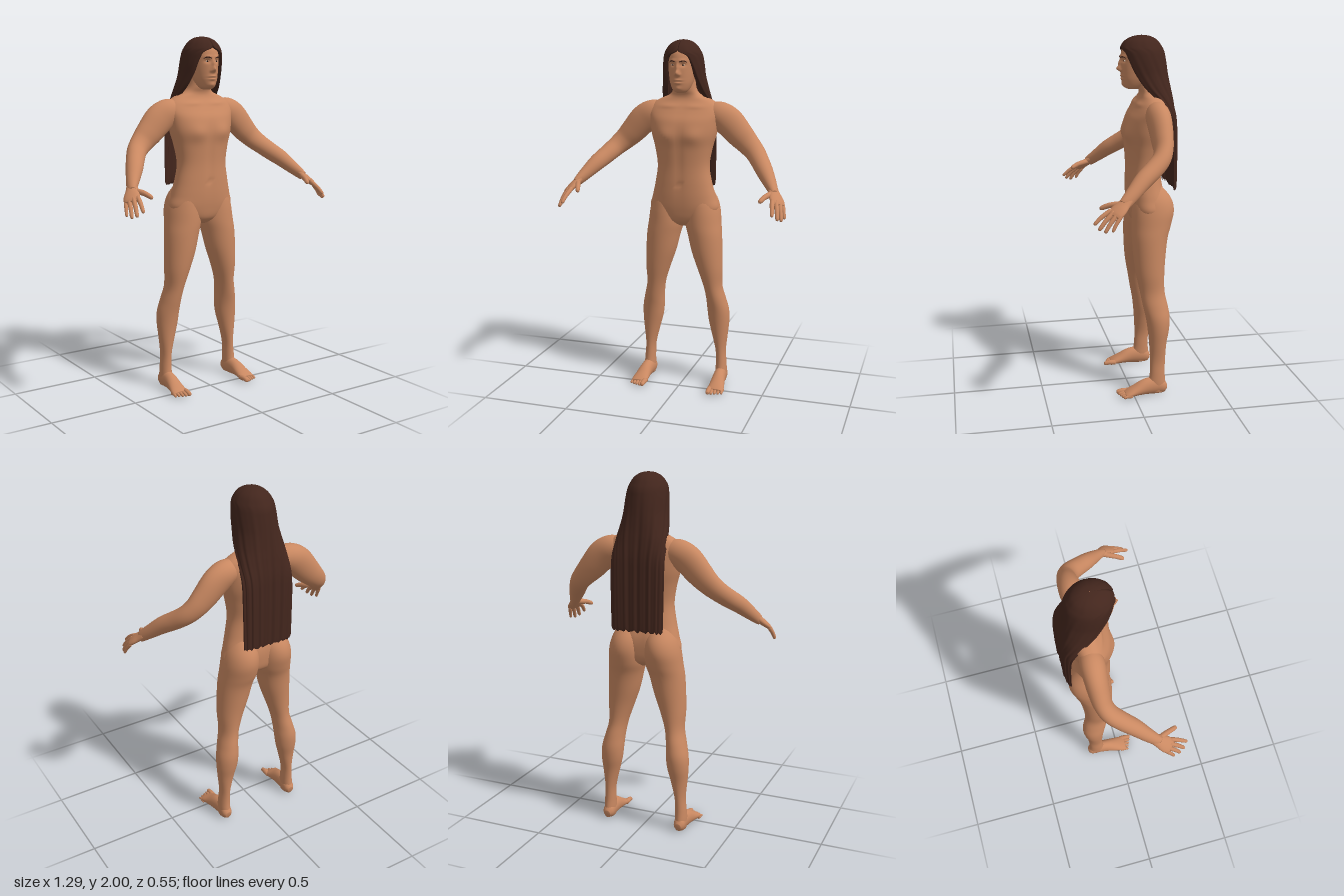
import * as THREE from 'three';

const V = (x, y, z) => new THREE.Vector3(x, y, z);
const gauss = (x, y, cx, cy, sx, sy) => Math.exp(-(((x - cx) / sx) ** 2) - ((y - cy) / sy) ** 2);

// Smoothly interpolates a list of equal-length rows to n + 1 rows
function smoothRows(rows, n) {
  const out = [];
  const last = rows.length - 1;
  for (let j = 0; j <= n; j++) {
    const f = (j / n) * last, i = Math.min(Math.floor(f), last - 1), t = f - i;
    const p = rows[Math.max(i - 1, 0)], a = rows[i], b = rows[i + 1], q = rows[Math.min(i + 2, last)];
    out.push(a.map((_, k) => {
      const m0 = (b[k] - p[k]) / 2, m1 = (q[k] - a[k]) / 2;
      return (2 * t ** 3 - 3 * t * t + 1) * a[k] + (t ** 3 - 2 * t * t + t) * m0
        + (3 * t * t - 2 * t ** 3) * b[k] + (t ** 3 - t * t) * m1;
    }));
  }
  return out;
}

// Skins closed rings of points, with optional fan caps
function skin(rings, capped = true) {
  const n = rings[0].length, pos = [], idx = [];
  rings.forEach((r) => r.forEach((v) => pos.push(v.x, v.y, v.z)));
  for (let j = 0; j < rings.length - 1; j++) for (let i = 0; i < n; i++) {
    const a = j * n + i, b = j * n + (i + 1) % n;
    idx.push(a, b, b + n, a, b + n, a + n);
  }
  if (capped) [0, rings.length - 1].forEach((j, end) => {
    const c = rings[j].reduce((s, v) => s.add(v), V(0, 0, 0)).divideScalar(n);
    const m = pos.length / 3;
    pos.push(c.x, c.y, c.z);
    for (let i = 0; i < n; i++) {
      const a = j * n + i, b = j * n + (i + 1) % n;
      if (end) idx.push(m, a, b); else idx.push(m, b, a);
    }
  });
  const g = new THREE.BufferGeometry();
  g.setAttribute('position', new THREE.Float32BufferAttribute(pos, 3));
  g.setIndex(idx);
  g.computeVertexNormals();
  return g;
}

// Upright form from rows [y, x0, x1, zFront, zBack], shaped further by a rule
function upright(rows, n, seg, power = 1, rule = null) {
  const bend = (s) => Math.sign(s) * Math.abs(s) ** power;
  return skin(smoothRows(rows, n).map(([y, x0, x1, zf, zb]) => Array.from({ length: seg }, (_, i) => {
    const t = (i / seg) * Math.PI * 2;
    const v = V((x0 + x1) / 2 + (x1 - x0) / 2 * bend(Math.sin(t)), y, (zf + zb) / 2 + (zf - zb) / 2 * bend(Math.cos(t)));
    if (rule) v.z += rule(v.x, v.y, Math.cos(t));
    return v;
  })));
}

// Limb from rows [x, y, z, thickness, width]; width lies along ref
function limb(rows, ref, n = 24, seg = 20) {
  const pts = smoothRows(rows, n);
  return skin(pts.map((p, j) => {
    const a0 = pts[Math.max(j - 1, 0)], a1 = pts[Math.min(j + 1, n)];
    const t = V(a1[0] - a0[0], a1[1] - a0[1], a1[2] - a0[2]).normalize();
    const b = ref.clone().addScaledVector(t, -ref.dot(t)).normalize();
    const a = b.clone().cross(t);
    return Array.from({ length: seg }, (_, i) => {
      const u = (i / seg) * Math.PI * 2;
      return V(p[0], p[1], p[2]).addScaledVector(a, p[3] * Math.cos(u)).addScaledVector(b, p[4] * Math.sin(u));
    });
  }));
}

// Finger or toe with a rounded tip
function digit(from, to, r, lift) {
  const at = (t, s, up = 0) => {
    const p = from.clone().lerp(to, t);
    return [p.x, p.y + up, p.z, r * s, r * s];
  };
  return limb([at(-0.15, 1), at(0.25, 1.05, lift * 0.7), at(0.55, 0.95, lift), at(0.85, 0.85, lift * 0.3), at(0.96, 0.6), at(1, 0.1)], V(1, 0.1, -0.6), 14, 10);
}

function mirrored(g) {
  const m = g.clone().scale(-1, 1, 1);
  const ix = m.index.array;
  for (let i = 0; i < ix.length; i += 3) [ix[i], ix[i + 1]] = [ix[i + 1], ix[i]];
  m.computeVertexNormals();
  return m;
}

export function createModel() {
  const model = new THREE.Group();
  model.name = 'longHairedFigure';
  const mat = (name, color, extra = {}) => Object.assign(new THREE.MeshStandardMaterial({ color }), { name, ...extra });
  const skinMat = mat('skin', 0xc98861);
  const hairMat = mat('darkBrownHair', 0x43261d, { side: THREE.DoubleSide });
  const eyeMat = mat('eyeWhite', 0xcbb8a8);
  const irisMat = mat('iris', 0x2a1811);
  const add = (name, geo, m = skinMat) => {
    const mesh = new THREE.Mesh(geo, m);
    mesh.name = name;
    model.add(mesh);
  };
  const pair = (name, geo, m) => {
    add(name + 'Left', geo, m);
    add(name + 'Right', mirrored(geo), m);
  };
  const even = (rows) => rows.map(([y, w, f, b]) => [y, -w, w, f, b]);

  // Torso and neck, with chest, midline and spine relief
  add('torso', upright(even([
    [0.955, 0.03, -0.06, -0.16], [0.99, 0.13, -0.025, -0.2], [1.05, 0.198, -0.01, -0.212], [1.12, 0.185, -0.002, -0.212],
    [1.2, 0.165, 0, -0.193], [1.3, 0.15, 0, -0.185], [1.4, 0.165, 0.006, -0.2], [1.48, 0.187, 0.01, -0.215],
    [1.55, 0.2, -0.002, -0.22], [1.6, 0.212, -0.03, -0.215], [1.64, 0.195, -0.055, -0.205], [1.67, 0.15, -0.072, -0.195],
    [1.695, 0.092, -0.075, -0.183], [1.73, 0.066, -0.065, -0.17], [1.8, 0.058, -0.06, -0.16],
  ]), 84, 64, 0.88, (x, y, c) => {
    const ax = Math.abs(x);
    if (c > 0) return c * (0.014 * gauss(ax, y, 0.085, 1.475, 0.055, 0.045) - 0.005 * gauss(x, y, 0, 1.35, 0.02, 0.2)
      - 0.008 * gauss(x, y, 0, 1.2, 0.01, 0.012) + 0.006 * gauss(ax, y, 0.08, 1.635, 0.06, 0.012));
    return -c * (0.014 * gauss(x, y, 0, 1.35, 0.025, 0.2) - 0.008 * gauss(ax, y, 0.1, 1.53, 0.05, 0.07));
  }));

  // Legs, including the hips
  pair('leg', upright([
    [1.19, 0.04, 0.14, -0.06, -0.175], [1.12, 0.012, 0.183, -0.025, -0.232], [1.05, 0.004, 0.204, -0.014, -0.249],
    [0.97, 0.006, 0.214, -0.01, -0.232], [0.9, 0.025, 0.222, -0.01, -0.21], [0.8, 0.05, 0.227, -0.015, -0.196],
    [0.7, 0.085, 0.229, -0.026, -0.186], [0.6, 0.118, 0.226, -0.045, -0.185], [0.52, 0.131, 0.244, -0.06, -0.2],
    [0.45, 0.135, 0.261, -0.075, -0.21], [0.38, 0.143, 0.264, -0.085, -0.205], [0.3, 0.163, 0.257, -0.092, -0.19],
    [0.2, 0.187, 0.247, -0.097, -0.182], [0.12, 0.19, 0.252, -0.094, -0.18], [0.06, 0.19, 0.255, -0.085, -0.185],
    [0.012, 0.195, 0.25, -0.09, -0.185],
  ].reverse(), 70, 36));

  // Feet and toes
  pair('foot', limb([
    [0.222, 0.036, -0.19, 0.018, 0.018], [0.222, 0.04, -0.17, 0.038, 0.031], [0.222, 0.05, -0.13, 0.05, 0.034],
    [0.226, 0.048, -0.07, 0.046, 0.037], [0.23, 0.032, -0.01, 0.03, 0.043], [0.233, 0.021, 0.03, 0.019, 0.047],
    [0.233, 0.016, 0.05, 0.012, 0.042],
  ], V(1, 0, 0), 28, 24));
  for (let i = 0; i < 5; i++) {
    const x = 0.198 + i * 0.0185, r = i ? 0.0105 - i * 0.0005 : 0.0145;
    pair('toe' + (i + 1), digit(V(x, r + 0.004, 0.035 - i * 0.003), V(x + 0.002, r, 0.096 - i * 0.0075), r, 0.004));
  }

  // Arms
  pair('arm', limb([
    [0.12, 1.59, -0.132, 0.055, 0.05], [0.19, 1.588, -0.132, 0.074, 0.064], [0.25, 1.55, -0.132, 0.083, 0.062],
    [0.315, 1.482, -0.13, 0.075, 0.056], [0.365, 1.432, -0.124, 0.064, 0.05], [0.41, 1.39, -0.1, 0.056, 0.049],
    [0.45, 1.348, -0.05, 0.051, 0.049], [0.49, 1.305, 0.01, 0.046, 0.046], [0.53, 1.256, 0.065, 0.036, 0.039],
    [0.56, 1.218, 0.108, 0.026, 0.033], [0.57, 1.205, 0.122, 0.02, 0.03],
  ], V(0.15, 0.1, 1), 56, 28));

  // Hands: palm, four fingers and a thumb
  pair('palm', limb([
    [0.555, 1.226, 0.1, 0.022, 0.03], [0.57, 1.205, 0.125, 0.02, 0.035], [0.585, 1.186, 0.15, 0.018, 0.043],
    [0.598, 1.168, 0.172, 0.015, 0.043], [0.606, 1.158, 0.184, 0.009, 0.034],
  ], V(0.7, -0.2, -0.7), 16, 20));
  [
    ['indexFinger', [0.573, 1.174, 0.2], [0.59, 1.115, 0.28], 0.0115],
    ['middleFinger', [0.593, 1.166, 0.188], [0.615, 1.092, 0.26], 0.012],
    ['ringFinger', [0.61, 1.158, 0.172], [0.63, 1.082, 0.232], 0.0115],
    ['littleFinger', [0.622, 1.152, 0.153], [0.64, 1.088, 0.195], 0.01],
    ['thumb', [0.55, 1.205, 0.142], [0.512, 1.178, 0.238], 0.0145],
  ].forEach(([name, a, b, r]) => pair(name, digit(V(...a), V(...b), r, 0.006)));

  // Head with brow, nose, lips and chin relief
  add('head', upright(even([
    [1.712, 0.022, -0.01, -0.07], [1.725, 0.042, 0.012, -0.09], [1.76, 0.06, 0.024, -0.13], [1.8, 0.07, 0.028, -0.16],
    [1.85, 0.077, 0.03, -0.185], [1.9, 0.08, 0.028, -0.19], [1.94, 0.075, 0.014, -0.175], [1.97, 0.05, -0.025, -0.13],
    [1.982, 0.01, -0.07, -0.09],
  ]), 90, 96, 1, (x, y, c) => {
    if (c <= 0) return 0;
    const ax = Math.abs(x);
    return 0.023 * gauss(x, y, 0, 1.822, 0.011, 0.014) + 0.013 * gauss(x, y, 0, 1.852, 0.009, 0.022)
      + 0.007 * gauss(ax, y, 0.013, 1.814, 0.006, 0.007) - 0.009 * gauss(ax, y, 0.029, 1.866, 0.015, 0.01)
      + 0.005 * gauss(ax, y, 0.027, 1.889, 0.02, 0.008) + 0.006 * gauss(x, y, 0, 1.784, 0.021, 0.006)
      + 0.006 * gauss(x, y, 0, 1.768, 0.018, 0.006) - 0.005 * gauss(x, y, 0, 1.776, 0.024, 0.003)
      + 0.006 * gauss(x, y, 0, 1.737, 0.02, 0.012);
  }));

  // Eyes and brows
  const ball = (r, x, y, z, sy, sz) => new THREE.SphereGeometry(r, 16, 10).scale(1, sy, sz).translate(x, y, z);
  pair('eye', ball(0.0105, 0.029, 1.865, 0.0135, 0.42, 0.5), eyeMat);
  pair('iris', ball(0.0045, 0.029, 1.865, 0.0175, 0.9, 0.5), irisMat);
  pair('brow', limb([
    [0.012, 1.882, 0.0345, 0.002, 0.002], [0.027, 1.887, 0.029, 0.0035, 0.0035], [0.04, 1.886, 0.02, 0.003, 0.003],
    [0.05, 1.879, 0.009, 0.001, 0.001],
  ], V(0, 1, 0), 12, 8), hairMat);

  // Long hair: rows [y, halfWidth, zCentre, depth, wrapAngle, thickness], crown to tips
  const arc = 72;
  const hairRows = smoothRows([
    [2, 0.004, -0.085, 0.004, 3.14, 0.002], [1.993, 0.04, -0.085, 0.048, 3.14, 0.01], [1.972, 0.073, -0.083, 0.088, 3.14, 0.018],
    [1.94, 0.096, -0.083, 0.112, 3.1, 0.022], [1.915, 0.106, -0.087, 0.121, 2.62, 0.024], [1.88, 0.112, -0.093, 0.125, 2.45, 0.026],
    [1.84, 0.116, -0.1, 0.128, 2.32, 0.026], [1.79, 0.12, -0.112, 0.127, 2.2, 0.026], [1.72, 0.132, -0.138, 0.115, 2.05, 0.026],
    [1.65, 0.143, -0.178, 0.086, 1.85, 0.024], [1.56, 0.15, -0.22, 0.053, 1.6, 0.02], [1.45, 0.152, -0.232, 0.044, 1.55, 0.018],
    [1.3, 0.15, -0.236, 0.04, 1.55, 0.018], [1.19, 0.148, -0.238, 0.036, 1.55, 0.015], [1.17, 0.146, -0.24, 0.03, 1.55, 0],
  ], 84);
  add('hair', skin(hairRows.map(([y, w, zc, d, a, th]) => {
    const low = THREE.MathUtils.clamp((1.9 - y) / 0.4, 0, 1);
    const point = (u, inset) => {
      const t = u * a;
      const lock = Math.sin(u * 31) * 0.5 + Math.sin(u * 53 + 1) * 0.3;
      const ridge = lock * 0.0045 * (0.25 + low) * Math.min(1, w / 0.08) - inset;
      const flat = 1 - 0.3 * low * Math.max(0, Math.cos(t)) ** 6;
      const tips = THREE.MathUtils.clamp((1.32 - y) / 0.15, 0, 1) * lock * 0.012;
      return V((w + ridge) * Math.sin(t), y + tips, zc - (d * flat + ridge) * Math.cos(t));
    };
    const ring = [];
    for (let i = 0; i <= arc; i++) ring.push(point(i / arc * 2 - 1, 0));
    for (let i = arc; i >= 0; i--) ring.push(point(i / arc * 2 - 1, th));
    return ring;
  }), false), hairMat);

  return model;
}
